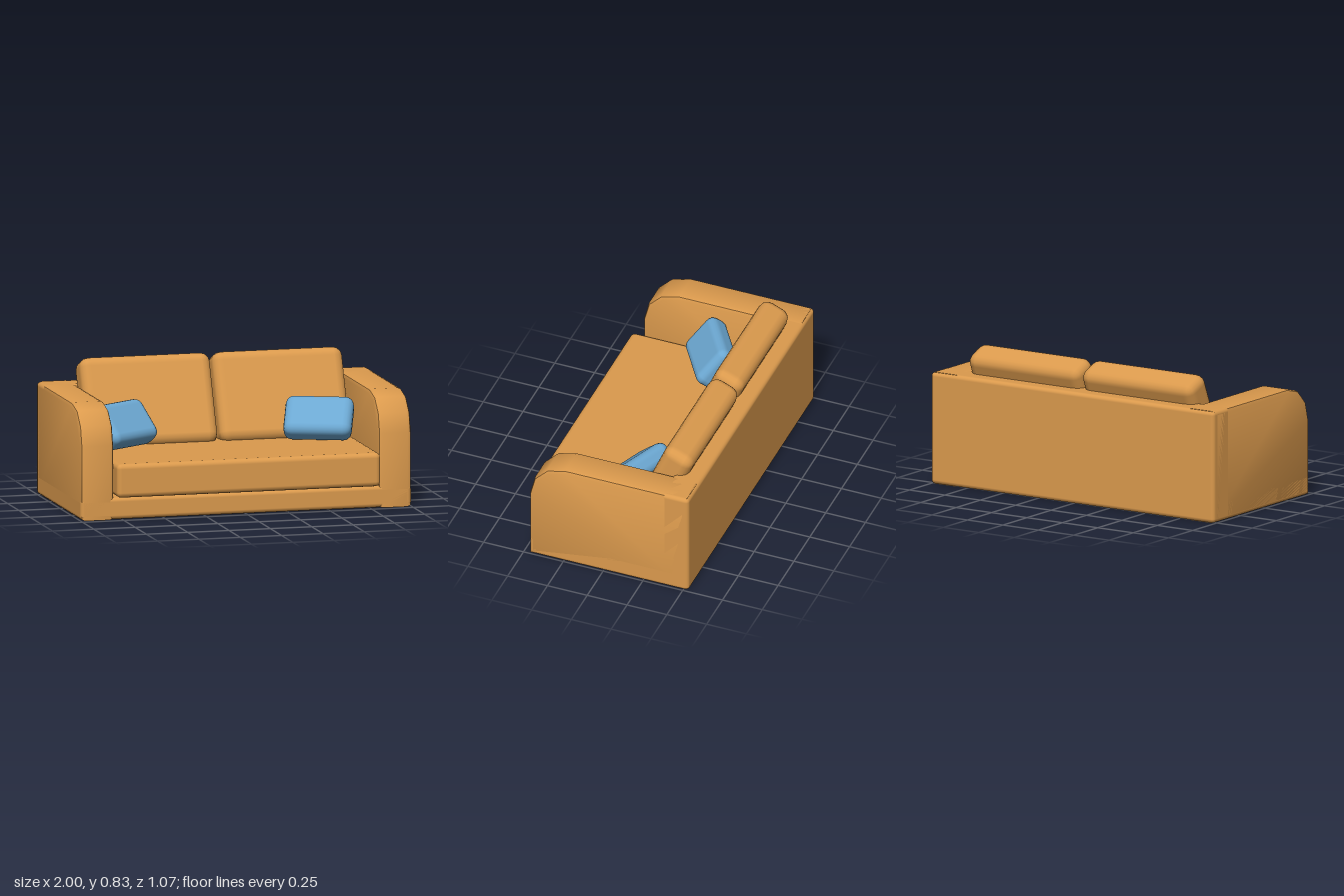
import * as THREE from 'three';
import { toCreasedNormals } from 'three/addons/utils/BufferGeometryUtils.js';
import { RoundedBoxGeometry } from 'three/addons/geometries/RoundedBoxGeometry.js';

const rad = THREE.MathUtils.degToRad;

export function createModel() {
  const sofa = new THREE.Group();
  sofa.name = 'sofa';

  const fabric = new THREE.MeshStandardMaterial({ color: 0xdb9a4d });
  fabric.name = 'tan fabric';
  const blue = new THREE.MeshStandardMaterial({ color: 0x6ca8d2 });
  blue.name = 'blue fabric';

  // Soft box given by its size, centre, edge radius and turn (lean back, then yaw)
  function softBox(name, size, centre, radius, material, lean = 0, yaw = 0) {
    const mesh = new THREE.Mesh(new RoundedBoxGeometry(...size, 2, radius), material);
    mesh.name = name;
    mesh.position.set(...centre);
    mesh.rotation.set(rad(-lean), rad(yaw), 0, 'YXZ');
    sofa.add(mesh);
  }

  // Frame: plinth and back run the full width and join the arms
  softBox('base', [2, 0.13, 1], [0, 0.065, -0.035], 0.025, fabric);
  softBox('backrest', [2, 0.667, 0.175], [0, 0.3335, -0.4475], 0.025, fabric);

  // Arms: side profile (z, y) with a faceted round at the front top
  const profile = new THREE.Shape([
    [-0.52, 0], [0.465, 0], [0.465, 0.44], [0.435, 0.555],
    [0.355, 0.637], [0.24, 0.667], [-0.52, 0.667],
  ].map(([z, y]) => new THREE.Vector2(z, y)));
  const bevel = 0.025;
  const arm = new THREE.ExtrudeGeometry(profile, {
    depth: 0.2 - 2 * bevel, bevelEnabled: true, bevelThickness: bevel,
    bevelSize: bevel, bevelOffset: -bevel, bevelSegments: 2,
  });
  arm.translate(0, 0, -(0.1 - bevel));
  arm.rotateY(-Math.PI / 2);
  const armGeometry = toCreasedNormals(arm, 0.75);

  for (const side of [1, -1]) {
    const label = side > 0 ? 'left' : 'right';
    const mesh = new THREE.Mesh(armGeometry, fabric);
    mesh.name = label + 'Arm';
    mesh.position.x = side * 0.9;
    sofa.add(mesh);

    // Leaning back cushions
    softBox(label + 'BackCushion', [0.79, 0.547, 0.19], [side * 0.4, 0.555, -0.29], 0.06, fabric, 23);
  }

  // Seat cushion, overhanging the base at the front
  softBox('seatCushion', [1.594, 0.2, 0.9], [0, 0.236, 0.083], 0.03, fabric);

  // Throw pillows in the corners
  softBox('rightPillow', [0.39, 0.27, 0.14], [-0.61, 0.473, -0.038], 0.05, blue, 40, 33);
  softBox('leftPillow', [0.4, 0.27, 0.13], [0.573, 0.46, -0.035], 0.05, blue, 46, -22);

  return sofa;
}
